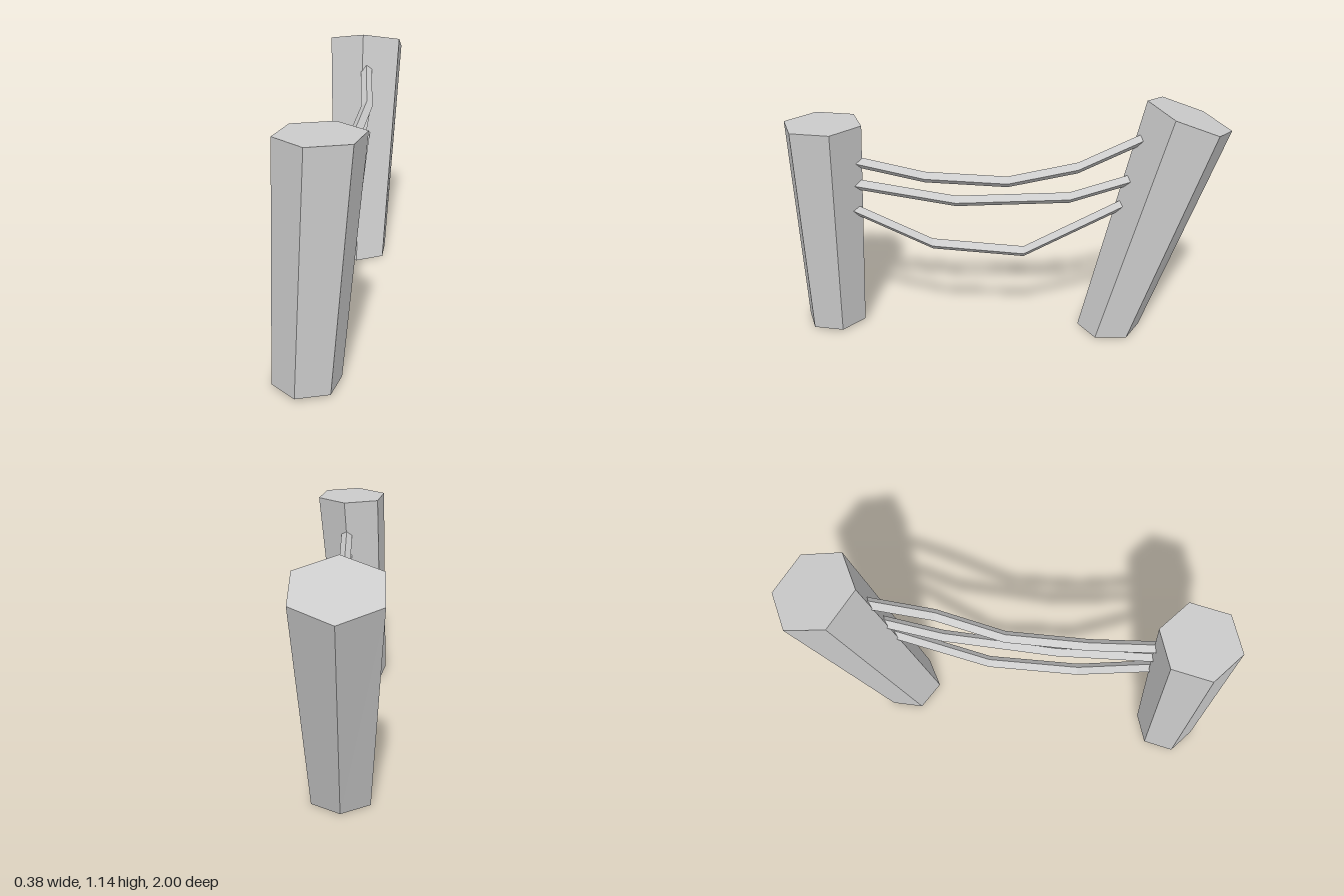
import * as THREE from 'three';

// Skin a series of equal-sized rings (counter-clockwise about the travel direction)
function loft(rings, capStart, capEnd) {
  const pos = [];
  const tri = (...pts) => pts.forEach((p) => pos.push(p.x, p.y, p.z));
  const n = rings[0].length;
  for (let r = 0; r < rings.length - 1; r++) {
    const a = rings[r], b = rings[r + 1];
    for (let i = 0; i < n; i++) {
      const j = (i + 1) % n;
      tri(a[i], a[j], b[j]);
      tri(a[i], b[j], b[i]);
    }
  }
  const first = rings[0], last = rings[rings.length - 1];
  for (let i = 1; i < n - 1; i++) {
    if (capStart) tri(first[0], first[i + 1], first[i]);
    if (capEnd) tri(last[0], last[i], last[i + 1]);
  }
  const geo = new THREE.BufferGeometry();
  geo.setAttribute('position', new THREE.Float32BufferAttribute(pos, 3));
  geo.computeVertexNormals();
  return geo;
}

// Six-sided ring; slope is the rise in y per unit of z
function hexRing(cx, cy, cz, radius, turn, slope = 0) {
  const ring = [];
  for (let i = 0; i < 6; i++) {
    const a = turn + (i * Math.PI) / 3;
    const dz = Math.cos(a) * radius;
    ring.push(new THREE.Vector3(cx + Math.sin(a) * radius, cy + dz * slope, cz + dz));
  }
  return ring;
}

// Diamond-section rope through [x, y, z] points, with ends sunk into the posts
function ropeGeometry(points) {
  const pts = points.map((p) => new THREE.Vector3(...p));
  const extend = (end, next) => end.add(end.clone().sub(next).setLength(0.04));
  extend(pts[0], pts[1]);
  extend(pts[pts.length - 1], pts[pts.length - 2]);
  const h = 0.026, w = 0.028;
  const rings = pts.map(({ x, y, z }) => [
    new THREE.Vector3(x, y + h, z),
    new THREE.Vector3(x + w, y, z),
    new THREE.Vector3(x, y - h, z),
    new THREE.Vector3(x - w, y, z),
  ]);
  return loft(rings, true, true);
}

export function createModel() {
  const model = new THREE.Group();
  model.name = 'ropeFence';
  const material = new THREE.MeshStandardMaterial({
    color: 0xcccccc, flatShading: true, side: THREE.DoubleSide,
  });
  const add = (name, geometry) => {
    const mesh = new THREE.Mesh(geometry, material);
    mesh.name = name;
    model.add(mesh);
  };

  // Posts: tapered, leaning, closed on top and open underneath
  const turn = THREE.MathUtils.degToRad(-10.7);
  add('frontPost', loft([
    hexRing(-0.052, 0.01, 0.842, 0.143, turn),
    hexRing(0.008, 1.03, 0.822, 0.181, turn),
  ], false, true));
  add('backPost', loft([
    hexRing(0.011, 0, -0.492, 0.149, 0),
    hexRing(0.011, 1.065, -0.808, 0.193, 0, 0.364).map((p) => {
      p.x = 0.011 + (p.x - 0.011) * 1.06;
      return p;
    }),
  ], false, true));

  // Three sagging ropes between the posts
  add('upperRope', ropeGeometry([
    [0.03, 0.852, 0.66], [0.03, 0.783, 0.375], [0.03, 0.759, 0],
    [0.062, 0.839, -0.316], [0.03, 0.96, -0.595],
  ]));
  add('middleRope', ropeGeometry([
    [0.03, 0.745, 0.67], [0.03, 0.665, 0.236], [0.03, 0.681, -0.284], [0.03, 0.76, -0.53],
  ]));
  add('lowerRope', ropeGeometry([
    [0.03, 0.617, 0.686], [0.03, 0.448, 0.349], [0.03, 0.407, -0.075], [0.03, 0.638, -0.51],
  ]));
  return model;
}
